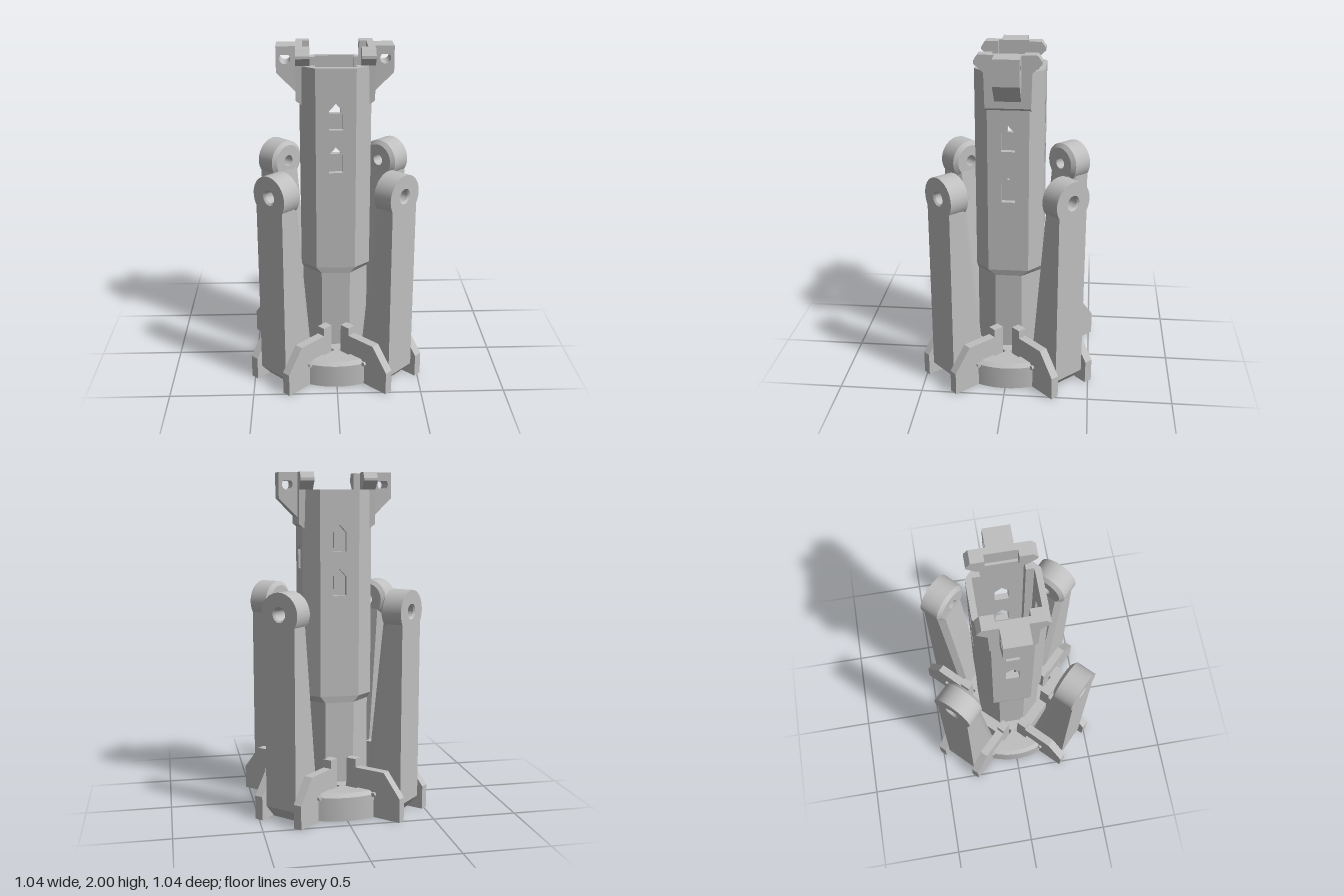
import * as THREE from 'three';
import { toCreasedNormals } from 'three/addons/utils/BufferGeometryUtils.js';
import { ConvexGeometry } from 'three/addons/geometries/ConvexGeometry.js';

const grey = new THREE.MeshStandardMaterial({ color: 0xbfbfbf });
grey.name = 'plain grey';

function add(parent, name, geometry) {
  const mesh = new THREE.Mesh(toCreasedNormals(geometry, 0.5), grey);
  mesh.name = name;
  parent.add(mesh);
  return mesh;
}

const toShape = (pts) => new THREE.Shape(pts.map((p) => new THREE.Vector2(...p)));
const extrude = (shape, depth) =>
  new THREE.ExtrudeGeometry(shape, { depth, bevelEnabled: false, curveSegments: 24 });
const hull = (pts) => new ConvexGeometry(pts.map((p) => new THREE.Vector3(...p)));

// Apply a rule to every vertex
function reshape(geometry, rule) {
  const pos = geometry.attributes.position;
  const v = new THREE.Vector3();
  for (let i = 0; i < pos.count; i++) {
    rule(v.fromBufferAttribute(pos, i));
    pos.setXYZ(i, v.x, v.y, v.z);
  }
  geometry.computeVertexNormals();
  return geometry;
}

// Mirror a quarter outline into a full ring, counter-clockwise
function fourfold(q) {
  const r = [...q].reverse();
  return [...q, ...r.map(([x, y]) => [-x, y]), ...q.map(([x, y]) => [-x, -y]), ...r.map(([x, y]) => [x, -y])];
}

// Base disc with notches for the four hinge brackets
function discShape(R) {
  const pts = [];
  const edge = Math.PI / 4 - Math.asin(0.165 / R);
  for (let k = 0; k < 4; k++) {
    const a = (k * Math.PI) / 2;
    for (let i = 0; i <= 16; i++) {
      const t = a - edge + (2 * edge * i) / 16;
      pts.push([R * Math.cos(t), R * Math.sin(t)]);
    }
    const c = Math.cos(a + Math.PI / 4), s = Math.sin(a + Math.PI / 4);
    const side = [[0.285, 0.165], [0.285, 0.18], [0.195, 0.18], [0.195, 0.105], [0.265, 0.105]];
    const notch = [...side.map(([u, v]) => [u, -v]), ...side.reverse()];
    notch.forEach(([u, v]) => pts.push([u * c - v * s, u * s + v * c]));
  }
  return toShape(pts);
}

function buildBase(root) {
  const lower = extrude(discShape(0.43), 0.14).rotateX(-Math.PI / 2);
  add(root, 'baseDisc', lower);
  const rim = extrude(discShape(0.43), 0.02).rotateX(-Math.PI / 2).translate(0, 0.14, 0);
  reshape(rim, (v) => {
    const r = Math.hypot(v.x, v.z);
    if (v.y > 0.15 && r > 0.42) { v.x *= 0.405 / r; v.z *= 0.405 / r; }
  });
  add(root, 'baseRim', rim);
}

// One leg with its bracket; local +z points away from the tower
function buildLeg() {
  const g = new THREE.Group();
  const body = [];
  for (const [y, inner, outer] of [[0, 0.28, 0.47], [0.08, 0.285, 0.54], [1.15, 0.4, 0.54]]) {
    for (const s of [-1, 1]) {
      body.push([s * 0.105, y, outer], [s * 0.105, y, inner + 0.04], [s * 0.075, y, inner]);
    }
  }
  add(g, 'legBody', hull(body));

  // Round head with a hole along the radial direction
  const profile = [[0.035, 0.4], [0.1, 0.4], [0.125, 0.42], [0.125, 0.54], [0.045, 0.54], [0.035, 0.53], [0.035, 0.4]];
  const head = new THREE.LatheGeometry(profile.map((p) => new THREE.Vector2(...p)), 40);
  add(g, 'legHead', head.rotateX(Math.PI / 2).translate(0, 1.21, 0));

  // Bracket plates with raised inner tabs and pivot pins
  const plate = toShape([[0.205, 0], [0.57, 0], [0.57, 0.14], [0.462, 0.28], [0.27, 0.28], [0.27, 0.33], [0.205, 0.33]]);
  for (const s of [-1, 1]) {
    const geo = extrude(plate, 0.052).rotateY(-Math.PI / 2).translate(s * 0.139 + 0.026, 0, 0);
    add(g, 'bracketPlate', geo);
    const pin = new THREE.CylinderGeometry(0.013, 0.013, 0.08, 12).rotateZ(Math.PI / 2);
    add(g, 'pivotPin', pin.translate(s * 0.14, 0.14, 0.4));
  }
  return g;
}

// Pointed window outline, base at y
function windowPath(y) {
  const pts = [[-0.04, y], [-0.04, y + 0.11], [0, y + 0.155], [0.04, y + 0.11], [0.04, y]];
  return new THREE.Path(pts.map((p) => new THREE.Vector2(...p)));
}

function buildTower(root) {
  // Wall panels with windows
  const y0 = 0.69, y1 = 1.9, t = 0.035;
  const walls = [
    [0.115, 0.2, 0, [1.545, 1.29]], [0.115, 0.2, Math.PI, [1.545, 1.29]],
    [0.12, 0.205, Math.PI / 2, [1.44, 1.13]], [0.12, 0.205, -Math.PI / 2, [1.44, 1.13]],
  ];
  for (const [w, d, turn, windows] of walls) {
    const s = toShape([[-w, y0], [w, y0], [w, y1], [-w, y1]]);
    windows.forEach((y) => s.holes.push(windowPath(y)));
    add(root, 'towerWall', extrude(s, t).translate(0, 0, d - t).rotateY(turn));
  }
  // Corner posts
  for (const sx of [-1, 1]) for (const sz of [-1, 1]) {
    const pts = [[0.115, 0.2], [0.205, 0.12], [0.115, 0.12]].map(([x, z]) => [x * sx, -z * sz]);
    add(root, 'towerCorner', extrude(toShape(pts), y1 - y0).rotateX(-Math.PI / 2).translate(0, y0, 0));
  }
  // Narrower lower shaft and the sloped step above it
  const top = [[0.205, 0.12], [0.115, 0.2]], bottom = [[0.195, 0.08], [0.085, 0.195]];
  const topIn = [[0.17, 0.12], [0.115, 0.12], [0.115, 0.165]];
  const bottomIn = [[0.17, 0.08], [0.085, 0.08], [0.085, 0.165]];
  const shell = (outer, inner, h) => {
    const s = toShape(fourfold(outer));
    s.holes.push(toShape(fourfold(inner)));
    return extrude(s, h).rotateX(-Math.PI / 2);
  };
  add(root, 'lowerShaft', shell(bottom, bottomIn, 0.5).translate(0, 0.15, 0));
  const from = [...top, ...topIn], to = [...bottom, ...bottomIn];
  const step = reshape(shell(top, topIn, 0.04), (v) => {
    if (v.y > 0.02) return;
    const i = from.findIndex(([x, z]) => Math.hypot(Math.abs(v.x) - x, Math.abs(v.z) - z) < 1e-3);
    if (i >= 0) { v.x = Math.sign(v.x) * to[i][0]; v.z = Math.sign(v.z) * to[i][1]; }
  });
  add(root, 'shaftStep', step.translate(0, 0.65, 0));
}

// Clamp plate and pierced lug on the +x side of the tower top
function buildClamp() {
  const g = new THREE.Group();
  const half = [[0.13, 1.67], [0.135, 1.9], [0.19, 1.95], [0.19, 1.965], [0.165, 2]];
  const outline = [...half, ...[...half].reverse().map(([z, y]) => [-z, y])];
  const plate = extrude(toShape(outline), 0.04).rotateY(Math.PI / 2).translate(0.185, 0, 0);
  reshape(plate, (v) => { if (v.y < 1.68 && v.x > 0.2) v.y += 0.03; });
  add(g, 'clampPlate', plate);
  for (const s of [-1, 1]) {
    const jaw = [];
    for (const x of [0.145, 0.19]) {
      for (const [z, y] of [[0.09, 1.9], [0.135, 1.9], [0.19, 1.95], [0.19, 1.965], [0.165, 2], [0.09, 2]]) {
        jaw.push([x, y, z * s]);
      }
    }
    add(g, 'clampJaw', hull(jaw));
  }
  const lug = toShape([[0.22, 1.735], [0.335, 1.85], [0.335, 2], [0.22, 2]]);
  const hole = new THREE.Path();
  hole.moveTo(0.285, 1.975);
  hole.absarc(0.285, 1.93, 0.031, Math.PI * 0.75, Math.PI * 2.25, false);
  hole.closePath();
  lug.holes.push(hole);
  add(g, 'lug', extrude(lug, 0.15).translate(0, 0, -0.075));
  return g;
}

export function createModel() {
  const root = new THREE.Group();
  root.name = 'tower';
  buildBase(root);
  buildTower(root);
  for (let k = 0; k < 4; k++) {
    const leg = buildLeg();
    leg.name = 'leg';
    leg.rotation.y = Math.PI / 4 + (k * Math.PI) / 2;
    root.add(leg);
  }
  for (let k = 0; k < 2; k++) {
    const clamp = buildClamp();
    clamp.name = k ? 'rightClamp' : 'leftClamp';
    clamp.rotation.y = k * Math.PI;
    root.add(clamp);
  }
  return root;
}
